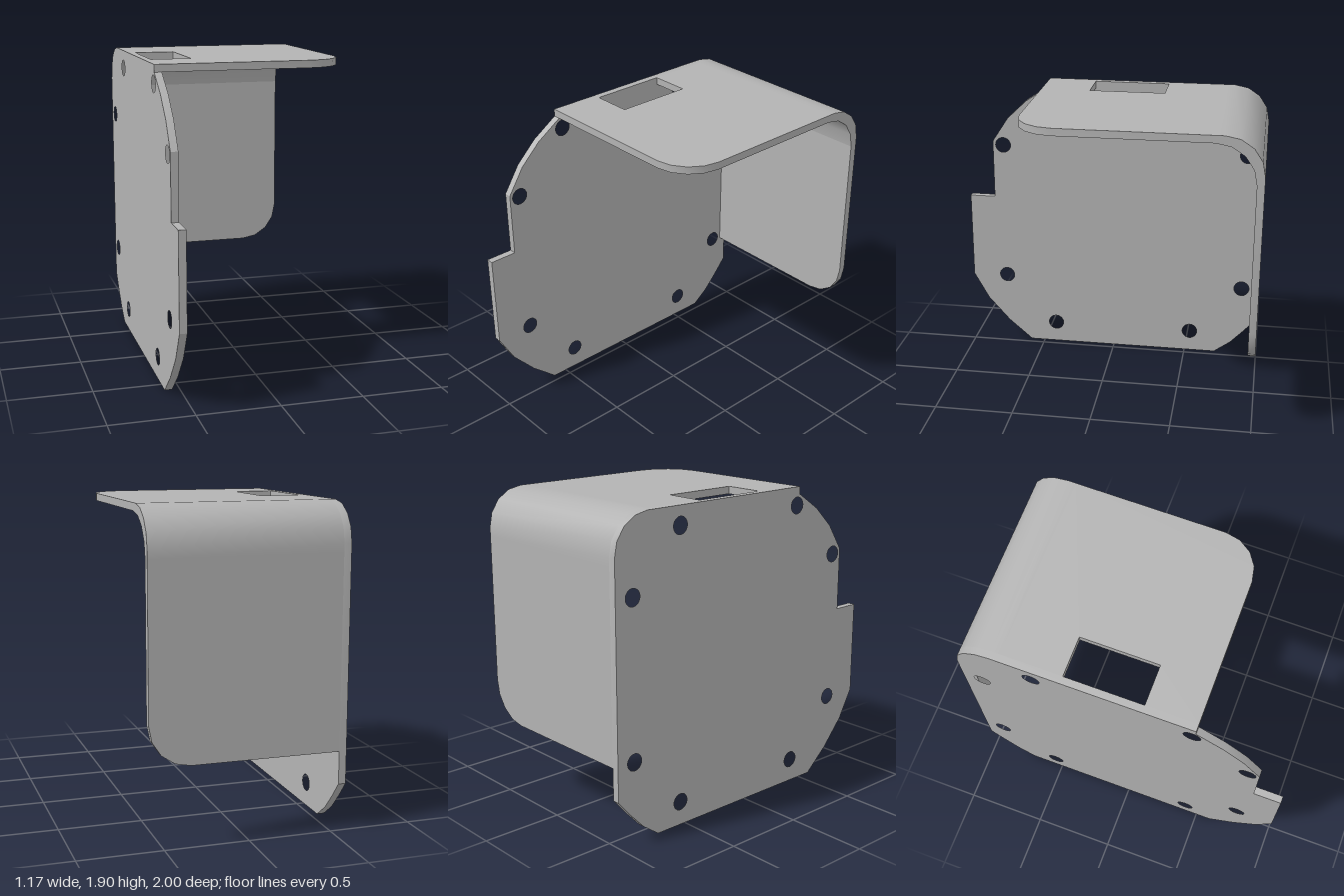
import * as THREE from 'three';
import { toCreasedNormals } from 'three/addons/utils/BufferGeometryUtils.js';

const T = 0.045; // sheet thickness
const LEFT = -0.59, RIGHT = 0.585, TOP = 1.9, BACK = -1;

// Points of a quarter bend, given centre, radius and start angle
function arc(cx, cy, r, start, sweep, n = 4) {
  return Array.from({ length: n + 1 }, (_, i) => {
    const a = start + (sweep * i) / n;
    return [cx + r * Math.cos(a), cy + r * Math.sin(a)];
  });
}

const toShape = (pts) => new THREE.Shape(pts.map(([a, b]) => new THREE.Vector2(a, b)));

function extrude(shape, depth) {
  return new THREE.ExtrudeGeometry(shape, { depth, bevelEnabled: false, curveSegments: 24 });
}

// Outline in (z, y), extruded along +x from x0
function extrudeAlongX(shape, x0, depth) {
  return extrude(shape, depth).rotateY(Math.PI / 2).translate(x0, 0, 0);
}

export function createModel() {
  const group = new THREE.Group();
  const steel = new THREE.MeshStandardMaterial({ color: 0xb3b3b3 });
  steel.name = 'grey sheet metal';
  const add = (name, geometry) => {
    const mesh = new THREE.Mesh(toCreasedNormals(geometry, 0.5), steel);
    mesh.name = name;
    group.add(mesh);
  };
  const H = Math.PI / 2;

  // Side plate with notched, chamfered outline and eight bolt holes
  const outline = [
    [1, 1.07], [0.83, 1.07], [0.83, 1.465], [0.725, 1.625], [0.595, 1.75],
    [0.435, 1.855], [0.435, TOP],
    ...arc(-0.77, 1.67, 0.23, H, H),
    [BACK, 0.28], [-0.915, 0.18], [-0.82, 0.08], [-0.71, 0],
    [0.595, 0], [0.755, 0.14], [0.9, 0.305], [1, 0.485],
  ];
  const plate = toShape(outline.map(([z, y]) => [-z, y]));
  const cz = -0.06, cy = 0.966;
  for (const [dz, dy] of [[0.474, 0.821], [0.82, 0.474]])
    for (const sz of [-1, 1])
      for (const sy of [-1, 1]) {
        const hole = new THREE.Path();
        hole.absarc(-(cz + sz * dz), cy + sy * dy, 0.051, 0, Math.PI * 2, true);
        plate.holes.push(hole);
      }
  add('sidePlate', extrudeAlongX(plate, LEFT, T));

  // Cover panels start at the inner face of the side plate
  const x0 = LEFT + T;

  // Top panel with one rounded front corner and a rectangular window
  const zJoin = -0.72;
  const top = toShape([
    [x0, -0.435], ...arc(RIGHT - 0.24, -0.195, 0.24, -H, H), [RIGHT, -zJoin], [x0, -zJoin],
    [x0, 0.35], [-0.3, 0.35], [-0.3, -0.125], [x0, -0.125], // window open to the plate
  ]);
  add('topPanel', extrude(top, T).rotateX(-H).translate(0, TOP - T, 0));

  // Bend between top and back
  const yJoin = 1.62;
  const bend = [
    [zJoin, TOP], ...arc(-0.77, 1.67, 0.23, H, H), [BACK, yJoin],
    ...arc(zJoin, yJoin, 0.235, Math.PI, -H),
  ];
  add('bend', extrudeAlongX(toShape(bend.map(([z, y]) => [-z, y])), x0, RIGHT - x0));

  // Back panel with one rounded lower corner
  const back = toShape([
    [x0, 0.475], ...arc(RIGHT - 0.24, 0.715, 0.24, -H, H), [RIGHT, yJoin], [x0, yJoin],
  ]);
  add('backPanel', extrude(back, T).translate(0, 0, BACK));

  return group;
}
